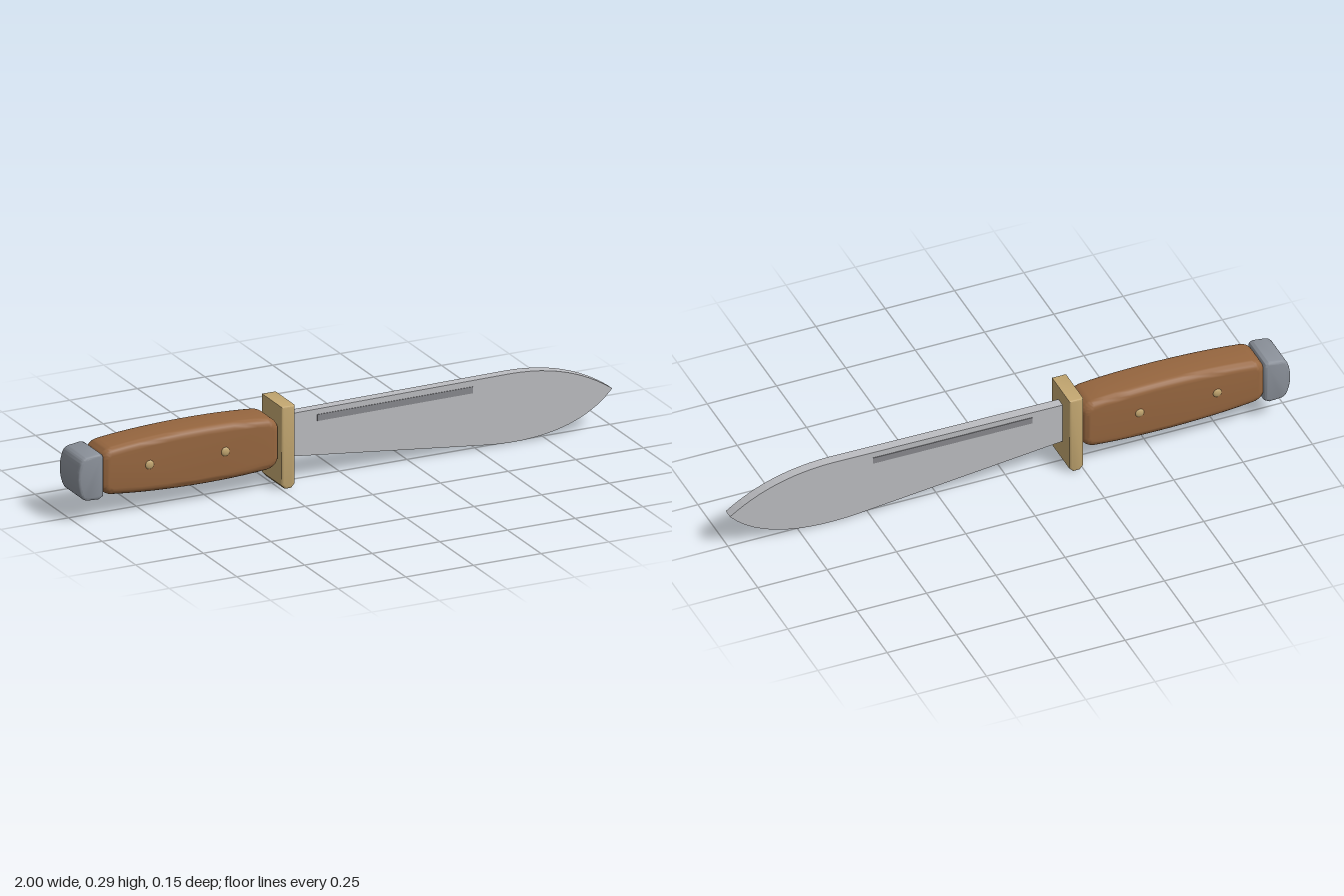
import * as THREE from 'three';
import { toCreasedNormals } from 'three/addons/utils/BufferGeometryUtils.js';

const paint = (name, color) => {
  const m = new THREE.MeshStandardMaterial({ color });
  m.name = name;
  return m;
};

// Extrude an outline along z, centred on z = 0; half is the total half thickness
function slab(shape, half, bevel = 0, segments = 3, curveSegments = 12) {
  const depth = 2 * (half - bevel);
  const g = new THREE.ExtrudeGeometry(shape, {
    depth, curveSegments, bevelEnabled: bevel > 0,
    bevelSize: bevel, bevelThickness: bevel, bevelSegments: segments,
  });
  g.translate(0, 0, -depth / 2);
  return bevel > 0 ? toCreasedNormals(g, 0.7) : g;
}

export function createModel() {
  const steel = paint('blade steel', 0xbcbdc1);
  const dark = paint('groove grey', 0x88898d);
  const iron = paint('pommel grey', 0x8a9099);
  const wood = paint('handle wood', 0x96663f);
  const brass = paint('brass', 0xc2a670);

  const model = new THREE.Group();
  const add = (name, geometry, material) => {
    const mesh = new THREE.Mesh(geometry, material);
    mesh.name = name;
    model.add(mesh);
    return mesh;
  };

  // Blade: narrow at the guard, widening to a leaf-shaped tip
  const blade = new THREE.Shape();
  blade.moveTo(-0.21, 0.091);
  blade.lineTo(0.52, 0.011);
  blade.bezierCurveTo(0.72, -0.012, 0.9, 0.02, 1, 0.133);
  blade.bezierCurveTo(0.9, 0.205, 0.78, 0.247, 0.62, 0.247);
  blade.lineTo(-0.21, 0.239);
  add('blade', slab(blade, 0.0175), steel);

  // Groove strip showing on both faces of the blade
  const groove = add('groove', new THREE.BoxGeometry(0.575, 0.023, 0.039), dark);
  groove.position.set(0.197, 0.211, 0);
  groove.rotation.z = 0.006;

  // Guard with chamfered lower corners
  const guard = new THREE.Shape();
  [[-0.244, 0.017], [-0.234, 0.006], [-0.216, 0.006], [-0.206, 0.017],
    [-0.206, 0.285], [-0.244, 0.285]]
    .forEach(([x, y], i) => (i ? guard.lineTo(x, y) : guard.moveTo(x, y)));
  add('guard', slab(guard, 0.0755, 0.006), brass);

  // Handle: swelling grip with broad rounded edges (outline is inset by the bevel)
  const b = 0.026, c = 0.162;
  const grip = new THREE.Shape();
  grip.moveTo(-0.884, c - 0.04);
  grip.quadraticCurveTo(-0.884, c - 0.056, -0.862, c - 0.058);
  grip.bezierCurveTo(-0.68, c - 0.08, -0.44, c - 0.08, -0.3, c - 0.066);
  grip.quadraticCurveTo(-0.278, c - 0.063, -0.278, c - 0.045);
  grip.lineTo(-0.278, c + 0.045);
  grip.quadraticCurveTo(-0.278, c + 0.063, -0.3, c + 0.066);
  grip.bezierCurveTo(-0.44, c + 0.08, -0.68, c + 0.08, -0.862, c + 0.058);
  grip.quadraticCurveTo(-0.884, c + 0.056, -0.884, c + 0.04);
  add('handle', slab(grip, 0.07, b, 5), wood);

  // Pommel: capped block narrowing to the rear
  const pommel = new THREE.Shape();
  pommel.moveTo(-0.915, 0.09);
  pommel.lineTo(-0.915, 0.219);
  pommel.quadraticCurveTo(-0.917, 0.227, -0.925, 0.226);
  pommel.lineTo(-0.962, 0.221);
  pommel.quadraticCurveTo(-0.978, 0.219, -0.982, 0.204);
  pommel.quadraticCurveTo(-0.998, 0.156, -0.982, 0.108);
  pommel.quadraticCurveTo(-0.977, 0.088, -0.962, 0.086);
  pommel.lineTo(-0.925, 0.084);
  add('pommel', slab(pommel, 0.073, 0.01), iron);

  // Domed pins on both sides of the handle
  for (const x of [-0.735, -0.455]) {
    for (const side of [1, -1]) {
      const pin = add('pin', new THREE.SphereGeometry(0.016, 16, 10), brass);
      pin.scale.z = 0.4;
      pin.position.set(x, 0.167, side * 0.069);
    }
  }

  return model;
}
